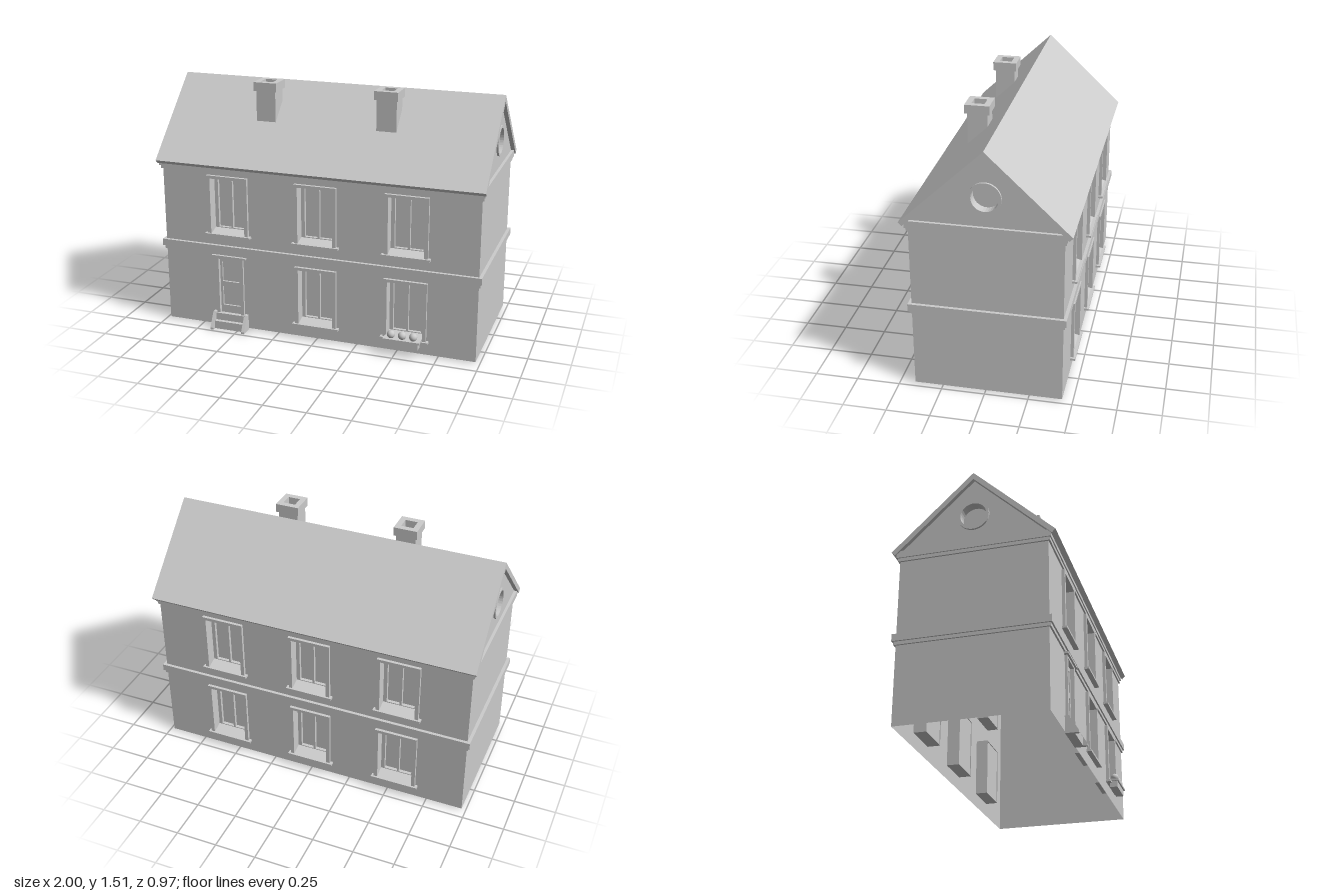
import * as THREE from 'three';

const mat = new THREE.MeshStandardMaterial({ color: 0xcccccc, side: THREE.DoubleSide });
const HX = 0.975, HZ = 0.425; // half width and half depth of the walls

function add(parent, name, geo, x = 0, y = 0, z = 0) {
  const mesh = new THREE.Mesh(geo, mat);
  mesh.name = name;
  mesh.position.set(x, y, z);
  parent.add(mesh);
  return mesh;
}

function box(parent, name, x0, x1, y0, y1, z0, z1) {
  return add(parent, name, new THREE.BoxGeometry(x1 - x0, y1 - y0, z1 - z0),
    (x0 + x1) / 2, (y0 + y1) / 2, (z0 + z1) / 2);
}

const poly = pts => new THREE.Shape(pts.map(p => new THREE.Vector2(...p)));
const rect = (x0, x1, y0, y1) => poly([[x0, y0], [x1, y0], [x1, y1], [x0, y1]]);

function extrude(shape, holes, depth) {
  shape.holes.push(...holes);
  return new THREE.ExtrudeGeometry(shape, { depth, bevelEnabled: false, curveSegments: 16 });
}

// Horizontal string course running round all four walls
function band(parent, name, y0, y1, out) {
  const geo = extrude(rect(-HX - out, HX + out, -HZ - out, HZ + out), [rect(-HX, HX, -HZ, HZ)], y1 - y0);
  geo.rotateX(-Math.PI / 2);
  add(parent, name, geo, 0, y0, 0);
}

// Recessed two-light window; origin at the underside of its sill on the wall
function makeWindow(x, y) {
  const g = new THREE.Group();
  g.name = 'window';
  g.position.set(x, y, HZ);
  add(g, 'windowCasing', extrude(rect(-0.13, 0.13, 0.008, 0.375), [rect(-0.108, 0.108, 0.013, 0.357)], 0.018));
  add(g, 'windowReveal', extrude(rect(-0.113, 0.113, 0.008, 0.362), [rect(-0.108, 0.108, 0.013, 0.357)], 0.075), 0, 0, -0.075);
  const lights = [-1, 1].map(s => rect(s * 0.046 - 0.04, s * 0.046 + 0.04, 0.035, 0.342));
  add(g, 'windowSash', extrude(rect(-0.108, 0.108, 0.013, 0.357), lights, 0.02), 0, 0, -0.07);
  add(g, 'windowGlass', new THREE.PlaneGeometry(0.216, 0.344), 0, 0.185, -0.07);
  box(g, 'windowSill', -0.145, 0.145, 0, 0.013, 0, 0.03);
  // Sloping inner sill
  const slope = extrude(poly([[0, 0.013], [0.06, 0.013], [0, 0.03]]), [], 0.216);
  slope.rotateY(-Math.PI / 2);
  add(g, 'slopingSill', slope, 0.108, 0, -0.05);
  return g;
}

// Long wall with window openings, facing +z
function makeLongWall(openings, door) {
  const g = new THREE.Group();
  const holes = openings.map(([x, y]) => rect(x - 0.108, x + 0.108, y + 0.013, y + 0.357));
  if (door !== undefined) holes.push(rect(door - 0.07, door + 0.07, 0.09, 0.45));
  const wall = rect(-HX, HX, 0.01, 1.03);
  wall.holes.push(...holes);
  add(g, 'longWall', new THREE.ShapeGeometry(wall), 0, 0, HZ);
  openings.forEach(([x, y]) => g.add(makeWindow(x, y)));
  return g;
}

// Panelled door with frame, steps and sloping side cheeks
function makeDoor(x) {
  const g = new THREE.Group();
  g.name = 'door';
  g.position.set(x, 0, HZ);
  add(g, 'doorFrame', extrude(rect(-0.09, 0.09, 0.06, 0.465), [rect(-0.07, 0.07, 0.09, 0.45)], 0.035), 0, 0, -0.02);
  add(g, 'doorLeaf', extrude(rect(-0.07, 0.07, 0.09, 0.45),
    [rect(-0.056, 0.056, 0.14, 0.262), rect(-0.056, 0.056, 0.297, 0.425)], 0.012), 0, 0, -0.02);
  add(g, 'doorBack', new THREE.PlaneGeometry(0.14, 0.36), 0, 0.27, -0.02);
  box(g, 'doorCap', -0.11, 0.11, 0.463, 0.475, 0, 0.026);
  box(g, 'lowerStep', -0.1, 0.1, 0, 0.05, 0, 0.05);
  box(g, 'upperStep', -0.1, 0.1, 0.05, 0.095, 0, 0.026);
  for (const s of [-1, 1]) {
    const cheek = extrude(poly([[0, 0], [0.075, 0], [0.075, 0.012], [0.022, 0.1], [0, 0.1]]), [], 0.02);
    cheek.rotateY(-Math.PI / 2);
    add(g, 'stepCheek', cheek, s * 0.103 + 0.01, 0, 0);
  }
  return g;
}

// Trough with three round plants
function makeFlowerBox(x) {
  const g = new THREE.Group();
  g.name = 'flowerBox';
  g.position.set(x, 0, HZ);
  box(g, 'boxBody', -0.1, 0.1, 0.06, 0.1, 0.018, 0.063);
  box(g, 'boxRim', -0.11, 0.11, 0.098, 0.11, 0.018, 0.072);
  for (const dx of [-0.067, 0, 0.067])
    add(g, 'plant', new THREE.SphereGeometry(0.024, 16, 12), dx, 0.13, 0.043);
  return g;
}

// Gable wall with a recessed round window, facing +z before turning
function makeGable() {
  const g = new THREE.Group();
  const disc = r => new THREE.Shape().absarc(0, 1.22, r, 0, Math.PI * 2);
  const wall = poly([[-HZ, 0.01], [HZ, 0.01], [HZ, 1.047], [0, 1.45], [-HZ, 1.047]]);
  wall.holes.push(disc(0.08));
  add(g, 'gableWall', new THREE.ShapeGeometry(wall, 16), 0, 0, HX);
  add(g, 'roundWindowRing', extrude(disc(0.09), [disc(0.075)], 0.012), 0, 0, HX);
  add(g, 'roundWindowReveal', extrude(disc(0.08), [disc(0.075)], 0.05), 0, 0, HX - 0.05);
  add(g, 'roundWindowGlass', new THREE.CircleGeometry(0.078, 32), 0, 1.22, HX - 0.045);
  return g;
}

export function createModel() {
  const model = new THREE.Group();
  model.name = 'house';
  const body = new THREE.Group();
  body.name = 'houseBody';
  body.position.z = -0.015;
  model.add(body);

  // Front and back walls
  const xs = [-0.555, 0, 0.55], upper = 0.6, lower = 0.085;
  const up = xs.map(x => [x, upper]), low = xs.map(x => [x, lower]);
  const front = makeLongWall([...up, ...low.slice(1)], -0.555);
  front.name = 'frontWall';
  front.add(makeDoor(-0.555), makeFlowerBox(0.546));
  const back = makeLongWall([...up, ...low]);
  back.name = 'backWall';
  back.rotation.y = Math.PI;
  body.add(front, back);

  // Gable ends
  for (const s of [-1, 1]) {
    const gable = makeGable();
    gable.name = s > 0 ? 'leftGable' : 'rightGable';
    gable.rotation.y = s * Math.PI / 2;
    body.add(gable);
  }

  // Bands and cornice
  band(body, 'lowerBandMoulding', 0.475, 0.495, 0.01);
  band(body, 'floorBand', 0.495, 0.537, 0.019);
  band(body, 'corniceMoulding', 0.99, 1.01, 0.01);
  band(body, 'cornice', 1.01, 1.052, 0.017);

  // Pitched roof slab
  const roof = extrude(poly([[0, 1.49], [-0.47, 1.045], [-0.45, 1.024], [0, 1.45], [0.45, 1.024], [0.47, 1.045]]), [], 2);
  roof.rotateY(Math.PI / 2);
  add(body, 'roof', roof, -1, 0, 0);

  // Chimneys on the front slope
  for (const x of [-0.38, 0.362]) {
    const g = new THREE.Group();
    g.name = 'chimney';
    g.position.set(x, 0, 0.168);
    box(g, 'chimneyStack', -0.06, 0.06, 1.26, 1.462, -0.058, 0.058);
    const cap = extrude(rect(-0.071, 0.071, -0.072, 0.072), [rect(-0.037, 0.037, -0.037, 0.037)], 0.052);
    cap.rotateX(-Math.PI / 2);
    add(g, 'chimneyCap', cap, 0, 1.46, 0);
    body.add(g);
  }
  return model;
}
